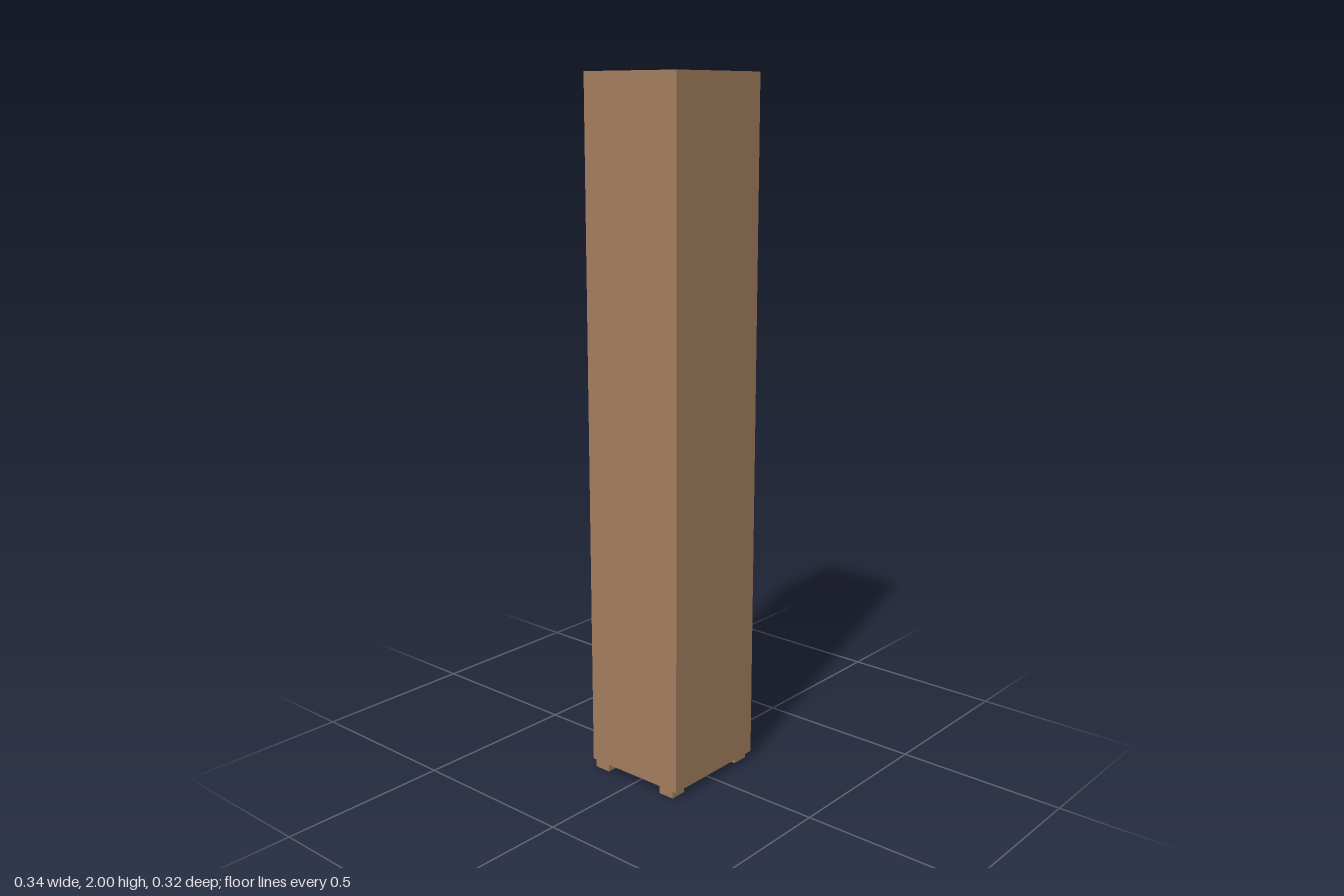
import * as THREE from 'three';

const W = 0.343, D = 0.323, T = 0.016; // overall width, depth, panel thickness
const FOOT = 0.025, SPLIT = 1.342, TOP = 2;

export function createModel() {
  const wood = new THREE.MeshStandardMaterial({ color: 0xa47e5f });
  wood.name = 'brown wood';
  const model = new THREE.Group();
  model.name = 'tallCabinet';

  // box given by its lower and upper corners
  const box = (parent, name, x0, x1, y0, y1, z0, z1) => {
    const mesh = new THREE.Mesh(new THREE.BoxGeometry(x1 - x0, y1 - y0, z1 - z0), wood);
    mesh.position.set((x0 + x1) / 2, (y0 + y1) / 2, (z0 + z1) / 2);
    mesh.name = name;
    parent.add(mesh);
  };

  const back = -D / 2, doorBack = D / 2 - T, inner = W / 2 - T;

  // open-backed carcass with a front door and evenly spaced shelves
  const unit = (name, y0, y1, shelves) => {
    const g = new THREE.Group();
    g.name = name;
    box(g, 'leftSide', inner, W / 2, y0, y1, back, doorBack);
    box(g, 'rightSide', -W / 2, -inner, y0, y1, back, doorBack);
    box(g, 'bottomPanel', -inner, inner, y0, y0 + T, back, doorBack);
    box(g, 'topPanel', -inner, inner, y1 - T, y1, back, doorBack);
    box(g, 'door', -W / 2, W / 2, y0, y1, doorBack, D / 2);
    const step = (y1 - y0 - T) / (shelves + 1);
    for (let i = 1; i <= shelves; i++) {
      const y = y0 + i * step;
      box(g, 'shelf', -inner, inner, y, y + T, back + 0.016, doorBack);
    }
    model.add(g);
  };

  unit('lowerUnit', FOOT, SPLIT, 3);
  unit('upperUnit', SPLIT, TOP, 1);

  // square feet, set in from the corners
  for (const x of [-0.142, 0.142]) {
    for (const z of [-0.129, 0.119]) {
      box(model, 'foot', x - 0.025, x + 0.025, 0, FOOT, z - 0.025, z + 0.025);
    }
  }
  return model;
}
